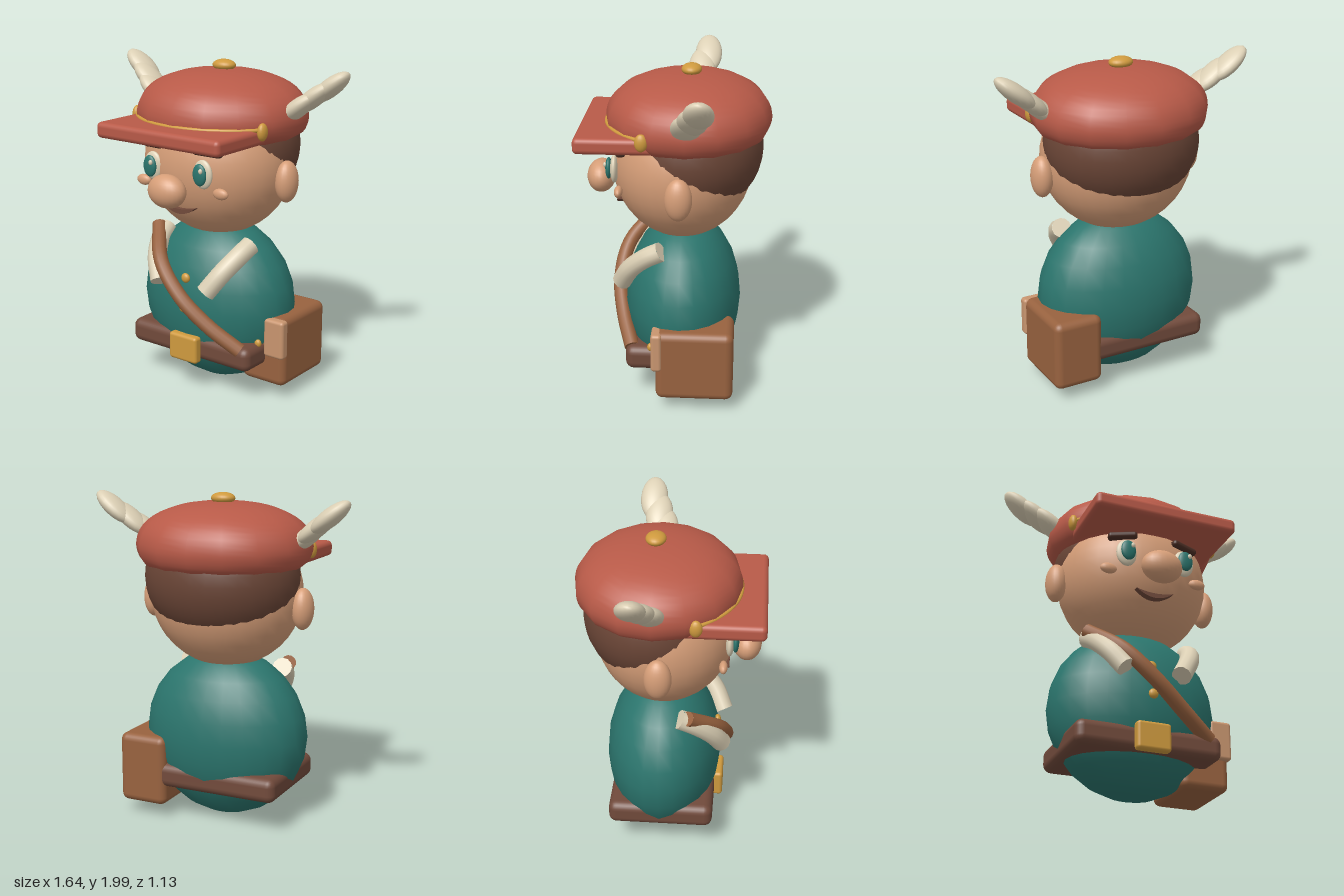
import * as THREE from 'three';
import { RoundedBoxGeometry } from 'three/addons/geometries/RoundedBoxGeometry.js';

const mat = (name, color) => {
  const m = new THREE.MeshStandardMaterial({ color });
  m.name = name;
  return m;
};

export function createModel() {
  const root = new THREE.Group();
  root.name = 'mailCarrier';

  const red = mat('cap red', 0xb85a48);
  const teal = mat('coat teal', 0x2b756d);
  const skin = mat('skin', 0xd69e78);
  const hairBrown = mat('hair brown', 0x6a4536);
  const darkBrown = mat('brow brown', 0x4e3026);
  const beltBrown = mat('belt brown', 0x714a3b);
  const leather = mat('bag leather', 0x98623f);
  const tan = mat('flap tan', 0xc8956f);
  const gold = mat('gold', 0xcf9a3e);
  const cream = mat('cream', 0xdbcfb4);

  const add = (name, geo, material, pos = [0, 0, 0], parent = root) => {
    const m = new THREE.Mesh(geo, material);
    m.name = name;
    m.position.set(...pos);
    parent.add(m);
    return m;
  };
  const ball = (name, material, pos, r, ws = 24, hs = 16, parent = root) =>
    add(name, new THREE.SphereGeometry(1, ws, hs).scale(...r), material, pos, parent);
  const box = (name, material, pos, size, radius) =>
    add(name, new RoundedBoxGeometry(...size, 3, radius), material, pos);

  // Tube through a few points with flat round ends
  const strip = (name, material, points, radius) => {
    const g = new THREE.Group();
    g.name = name;
    root.add(g);
    const curve = new THREE.CatmullRomCurve3(points.map(p => new THREE.Vector3(...p)));
    add(name + 'Tube', new THREE.TubeGeometry(curve, 24, radius, 12), material, [0, 0, 0], g);
    for (const t of [0, 1]) {
      const p = curve.getPoint(t);
      const end = add(name + 'End', new THREE.CircleGeometry(radius, 12), material, p.toArray(), g);
      end.lookAt(p.add(curve.getTangent(t).multiplyScalar(t ? 1 : -1)));
    }
  };

  // Body, head and hair
  ball('body', teal, [0, 0.53, -0.045], [0.52, 0.52, 0.355], 24, 12);
  ball('head', skin, [0, 1.4, -0.04], [0.47, 0.45, 0.42], 32, 20);
  ball('hair', hairBrown, [0, 1.5, -0.1], [0.475, 0.4, 0.42], 32, 20);
  ball('nose', skin, [0, 1.3, 0.452], [0.127, 0.1, 0.086]);

  // Paired features of the face, and the ears
  for (const s of [-1, 1]) {
    ball('ear', skin, [s * 0.495, 1.335, -0.042], [0.065, 0.125, 0.08]);
    ball('cheek', skin, [s * 0.287, 1.3, 0.32], [0.053, 0.033, 0.025], 16, 10);
    ball('eyeWhite', cream, [s * 0.185, 1.407, 0.352], [0.066, 0.086, 0.025]);
    ball('iris', teal, [s * 0.185, 1.41, 0.385], [0.047, 0.065, 0.02]);
    ball('eyeGlint', cream, [s * 0.185 + 0.022, 1.437, 0.405], [0.013, 0.016, 0.01], 10, 8);
    const brow = box('eyebrow', darkBrown, [s * 0.2, 1.533, 0.325], [0.18, 0.045, 0.06], 0.02);
    brow.rotation.set(0, s * 0.3, s * -0.08);
  }

  // Smile
  const smile = new THREE.Shape();
  smile.moveTo(-0.118, 1.19);
  smile.quadraticCurveTo(0, 1.155, 0.118, 1.19);
  smile.quadraticCurveTo(0, 1.095, -0.118, 1.19);
  add('mouth', new THREE.ExtrudeGeometry(smile, { depth: 0.05, bevelEnabled: false }),
    beltBrown, [0, 0, 0.3]);

  // Cap: domed crown, flat visor, band and buttons
  const crown = [[0, 1.56], [0.46, 1.565], [0.505, 1.595], [0.53, 1.645], [0.536, 1.7],
    [0.515, 1.77], [0.46, 1.835], [0.37, 1.888], [0.25, 1.925], [0.12, 1.943], [0, 1.947]];
  const profile = new THREE.SplineCurve(crown.slice(1).map(p => new THREE.Vector2(...p)))
    .getPoints(20).map(p => new THREE.Vector2(Math.max(p.x, 0), p.y));
  add('capCrown', new THREE.LatheGeometry([new THREE.Vector2(...crown[0]), ...profile], 16),
    red, [0, 0, -0.075]).scale.z = 0.49 / 0.536;
  box('capVisor', red, [0, 1.62, 0.31], [0.9, 0.095, 0.5], 0.03);
  const band = [];
  for (let i = 0; i <= 16; i++) {
    const a = 0.5 + (Math.PI - 1) * i / 16;
    band.push([0.53 * Math.cos(a), 1.667, 0.484 * Math.sin(a) - 0.075]);
  }
  strip('capBand', gold, band, 0.012);
  ball('capTopButton', gold, [0, 1.965, -0.09], [0.075, 0.035, 0.06]);

  for (const s of [-1, 1]) {
    ball('capSideButton', gold, [s * 0.465, 1.657, 0.167], [0.027, 0.052, 0.038], 16, 12);

    // Feather of three overlapping lobes
    const feather = new THREE.Group();
    feather.name = 'feather';
    root.add(feather);
    [[0.53, 1.762, -0.085], [0.61, 1.825, -0.125], [0.7, 1.89, -0.163]].forEach(([x, y, z]) => {
      const lobe = ball('featherLobe', cream, [s * x, y, z], [0.145, 0.052, 0.085], 20, 14, feather);
      lobe.rotation.z = s * 0.67;
    });

    // Collar lapel
    strip('lapel', cream, [[s * 0.32, 0.94, 0.07], [s * 0.3, 0.89, 0.16],
      [s * 0.25, 0.8, 0.255], [s * 0.175, 0.68, 0.32]], 0.06);
  }

  // Coat buttons, belt and buckle
  ball('coatButton', gold, [0, 0.727, 0.288], [0.03, 0.03, 0.02], 16, 12);
  ball('coatButton', gold, [0, 0.545, 0.312], [0.03, 0.03, 0.02], 16, 12);
  box('belt', beltBrown, [0, 0.285, -0.04], [0.9, 0.15, 0.64], 0.05);
  box('buckle', gold, [0, 0.285, 0.298], [0.21, 0.17, 0.065], 0.02);

  // Shoulder strap and satchel
  strip('shoulderStrap', leather, [[-0.345, 0.965, 0.12], [-0.18, 0.8, 0.3],
    [0, 0.625, 0.345], [0.19, 0.465, 0.31], [0.375, 0.335, 0.245]], 0.045);
  box('satchel', leather, [0.425, 0.307, -0.14], [0.31, 0.435, 0.46], 0.045);
  box('satchelFlap', tan, [0.52, 0.4, 0.083], [0.14, 0.24, 0.065], 0.02);
  ball('satchelClasp', gold, [0.425, 0.36, 0.13], [0.022, 0.026, 0.018], 14, 10);

  return root;
}
